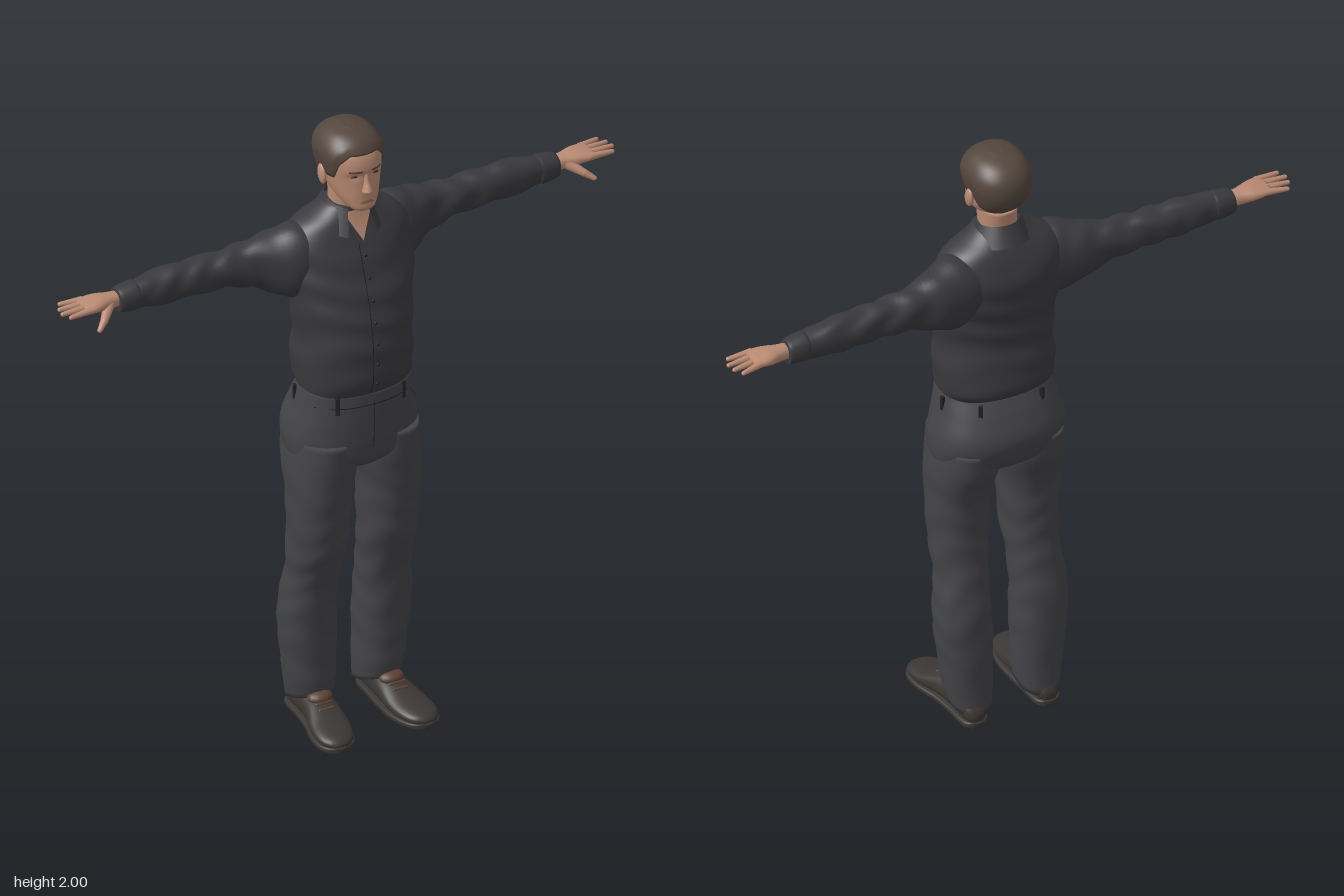
import * as THREE from 'three';

const mat = (name, color, side = THREE.FrontSide) => {
  const m = new THREE.MeshStandardMaterial({ color, side });
  m.name = name;
  return m;
};

// Smoothly interpolate rows of [t, aMin, aMax, bMin, bMax] at t
function at(rows, t) {
  let i = 0;
  while (i < rows.length - 2 && t > rows[i + 1][0]) i++;
  const P = rows[i], Q = rows[i + 1], h = Q[0] - P[0];
  const s = THREE.MathUtils.clamp((t - P[0]) / h, 0, 1);
  const slope = (j, k) => {
    const A = rows[Math.max(j - 1, 0)], B = rows[Math.min(j + 1, rows.length - 1)];
    return (B[k] - A[k]) / (B[0] - A[0]);
  };
  return [1, 2, 3, 4].map(k => {
    const s2 = s * s, s3 = s2 * s;
    return (2 * s3 - 3 * s2 + 1) * P[k] + (s3 - 2 * s2 + s) * h * slope(i, k)
      + (3 * s2 - 2 * s3) * Q[k] + (s3 - s2) * h * slope(i + 1, k);
  });
}

// Point on a rounded cross-section; angle 0 looks along +b
function section(rows, t, ang, p = 2.3, grow = 0) {
  const [a0, a1, b0, b1] = at(rows, t);
  const pw = v => Math.sign(v) * Math.abs(v) ** (2 / p);
  return [(a0 + a1) / 2 + ((a1 - a0) / 2 + grow) * pw(Math.sin(ang)),
    (b0 + b1) / 2 + ((b1 - b0) / 2 + grow) * pw(Math.cos(ang))];
}

// Grid surface; a closed one wraps around u, gets end caps and faces outward
function surface(fn, n, m, closed) {
  const pos = [], idx = [], w = closed ? n : n + 1;
  for (let j = 0; j <= m; j++) for (let i = 0; i < w; i++) pos.push(...fn(i / n, j / m));
  for (let j = 0; j < m; j++) for (let i = 0; i < n; i++) {
    const a = j * w + i, b = j * w + (i + 1) % w, c = a + w, d = b + w;
    idx.push(a, b, d, a, d, c);
  }
  if (closed) {
    for (const j of [0, m]) {
      const c = [0, 0, 0], k = pos.length / 3;
      for (let i = 0; i < n; i++) for (let q = 0; q < 3; q++) c[q] += pos[(j * n + i) * 3 + q] / n;
      pos.push(...c);
      for (let i = 0; i < n; i++) {
        const a = j * n + i, b = j * n + (i + 1) % n;
        idx.push(...(j ? [k, a, b] : [k, b, a]));
      }
    }
    let vol = 0;
    const v = i => new THREE.Vector3(pos[i * 3], pos[i * 3 + 1], pos[i * 3 + 2]);
    for (let i = 0; i < idx.length; i += 3) vol += v(idx[i]).dot(v(idx[i + 1]).cross(v(idx[i + 2])));
    if (vol < 0) idx.reverse();
  }
  const g = new THREE.BufferGeometry();
  g.setAttribute('position', new THREE.Float32BufferAttribute(pos, 3));
  g.setIndex(idx);
  g.computeVertexNormals();
  return g;
}

// Loft through rows, with optional cloth folds
function loft(rows, map, { p = 2.3, fold = 0, n = 40, steps = 6 } = {}) {
  const t0 = rows[0][0], t1 = rows[rows.length - 1][0];
  return surface((u, v) => {
    const t = t0 + (t1 - t0) * v, ang = u * Math.PI * 2;
    const f = fold * Math.sin(t * 55 + 2 * Math.sin(ang * 2 + t * 9)) * Math.sin(v * Math.PI);
    return map(t, ...section(rows, t, ang, p, f));
  }, n, (rows.length - 1) * steps, true);
}

const upright = (y, x, z) => [x, y, z];
const sym = rows => rows.map(([y, r, b, f]) => [y, -r, r, b, f]);

// Front depth of an upright loft at (x, y)
function frontZ(rows, y, x, p = 2.3) {
  const [a0, a1, b0, b1] = at(rows, y);
  const k = Math.min(1, Math.abs((x - (a0 + a1) / 2) / ((a1 - a0) / 2)));
  return (b0 + b1) / 2 + (b1 - b0) / 2 * (1 - k ** p) ** (1 / p);
}
// Thin patch on the front, between xL(v) and xR(v)
const patch = (rows, y0, y1, xL, xR, lift = 0.004) => surface((u, v) => {
  const y = y0 + (y1 - y0) * v, x = xL(v) + (xR(v) - xL(v)) * u;
  return [x, y, frontZ(rows, y, x) + lift];
}, 8, 12, false);

const torso = sym([[1.11, .15, -.11, .1], [1.15, .17, -.127, .117], [1.19, .178, -.172, .138],
  [1.25, .18, -.18, .145], [1.35, .178, -.165, .14], [1.45, .19, -.168, .12], [1.53, .205, -.177, .094],
  [1.6, .205, -.177, .069], [1.65, .195, -.165, .05], [1.69, .16, -.146, .032], [1.72, .105, -.127, .022],
  [1.75, .065, -.105, .015]]);
const hips = sym([[.885, .1, -.1, .07], [.92, .19, -.152, .106], [.97, .21, -.178, .117],
  [1.03, .206, -.188, .12], [1.1, .187, -.163, .121], [1.16, .173, -.131, .12]]);
const leg = [[.07, .045, .178, -.148, .008], [.13, .04, .19, -.145, .015], [.2, .04, .198, -.147, .015],
  [.3, .038, .21, -.146, .02], [.4, .042, .212, -.14, .025], [.5, .04, .2, -.122, .04],
  [.6, .033, .203, -.11, .075], [.7, .028, .206, -.11, .09], [.8, .022, .209, -.118, .1],
  [.9, .004, .21, -.153, .109], [.99, .01, .2, -.165, .112]];
const arm = [[.1, 1.5, 1.675, -.135, .02], [.16, 1.46, 1.69, -.145, .03], [.2, 1.457, 1.687, -.145, .025],
  [.25, 1.48, 1.672, -.145, 0], [.31, 1.51, 1.656, -.14, -.025], [.42, 1.532, 1.645, -.138, -.035],
  [.6, 1.533, 1.645, -.132, -.04], [.7, 1.545, 1.63, -.122, -.045], [.75, 1.55, 1.622, -.118, -.048]];
const palm = [[.73, 1.567, 1.612, -.104, -.062], [.78, 1.568, 1.615, -.11, -.055],
  [.82, 1.575, 1.617, -.121, -.042], [.86, 1.584, 1.612, -.123, -.034], [.875, 1.59, 1.608, -.117, -.04]];
const shoe = [[-.155, .1, .14, .02, .05], [-.135, .083, .157, .012, .08], [-.05, .075, .165, .012, .1],
  [.02, .07, .175, .012, .092], [.09, .07, .195, .012, .066], [.15, .085, .197, .012, .052],
  [.183, .107, .18, .013, .042], [.194, .13, .16, .018, .032]];
const head = sym([[1.753, .022, .025, .066], [1.765, .04, 0, .08], [1.79, .06, -.06, .08],
  [1.82, .073, -.11, .079], [1.86, .083, -.138, .076], [1.9, .087, -.147, .079], [1.94, .085, -.142, .068],
  [1.97, .066, -.118, .04], [1.985, .042, -.088, .012], [1.992, .01, -.05, -.025]]);
const nose = sym([[1.816, .009, .06, .084], [1.827, .017, .06, .1], [1.838, .014, .06, .098],
  [1.86, .009, .06, .087], [1.885, .009, .06, .078]]);
const neck = sym([[1.64, .06, -.1, .02], [1.7, .058, -.1, .018], [1.75, .056, -.1, .018], [1.81, .058, -.105, .03]]);
// Lower edge of the hair by angle from the front
const hairline = [[0, 1.944], [.5, 1.944], [.9, 1.915], [1.12, 1.865], [1.45, 1.86], [1.65, 1.878],
  [2, 1.835], [3.2, 1.812]];

export function createModel() {
  const root = new THREE.Group();
  root.name = 'man';
  const M = {
    shirt: mat('shirt cloth', 0x3a3a3e, THREE.DoubleSide), trousers: mat('trouser cloth', 0x444448),
    seam: mat('dark seam', 0x222225), skin: mat('skin', 0xb98a72), hair: mat('brown hair', 0x54463d),
    lips: mat('lips', 0x9c6a5a), eye: mat('dark eye', 0x3a2c26), shoe: mat('shoe leather', 0x3b3735),
    lace: mat('brown laces', 0x5c4236),
  };
  const add = (name, geo, material) => {
    const m = new THREE.Mesh(geo, material);
    m.name = name;
    root.add(m);
    return m;
  };
  const ball = (name, material, x, y, z, sx, sy, sz) => {
    const m = add(name, new THREE.SphereGeometry(1, 16, 12), material);
    m.position.set(x, y, z);
    m.scale.set(sx, sy, sz);
    return m;
  };

  // Shirt body, button placket and open neck
  add('shirtBody', loft(torso, upright, { fold: .003, n: 56 }), M.shirt);
  add('placketSeam', patch(torso, 1.17, 1.64, () => -.017, () => -.0145), M.seam);
  for (let i = 0; i < 7; i++) {
    const y = 1.2 + i * .067;
    ball('shirtButton', M.seam, 0, y, frontZ(torso, y, 0) + .003, .005, .005, .003);
  }
  add('openNeck', patch(torso, 1.645, 1.735, v => -.048 * v, v => .048 * v, .006), M.skin);
  add('neck', loft(neck, upright), M.skin);

  // Folded collar, open at the front
  add('collar', surface((u, v) => {
    const ang = .5 + u * (Math.PI * 2 - 1), f = (1 + Math.cos(ang)) / 2;
    const r = .066 + .036 * v;
    return [r * Math.sin(ang), 1.772 - .03 * f - v * (.058 + .022 * f), -.042 + (r + .006) * Math.cos(ang)];
  }, 40, 6, false), M.shirt);

  // Trousers with fly, pockets and belt loops
  add('trouserHips', loft(hips, upright, { n: 56 }), M.trousers);
  add('flySeam', patch(hips, .97, 1.13, () => -.001, () => .001, .002), M.seam);
  add('waistSeam', patch(hips, 1.118, 1.121, () => -.165, () => .165, .002), M.seam);
  for (const ang of [.6, 1.7, 2.6, -.6, -1.7, -2.6]) {
    const [x, z] = section(hips, 1.125, ang);
    const loop = add('beltLoop', new THREE.BoxGeometry(.012, .055, .009), M.seam);
    loop.position.set(x, 1.128, z);
    loop.rotation.y = ang;
  }

  // Head, face and hair
  add('head', loft(head, (y, x, z) => {
    const socket = Math.exp(-(((Math.abs(x) - .033) / .018) ** 2) - ((y - 1.877) / .012) ** 2);
    return [x, y, z > 0 ? z - .007 * socket : z];
  }, { n: 56 }), M.skin);
  add('nose', loft(nose, upright, { p: 2, n: 20 }), M.skin);
  add('mouth', patch(head, 1.786, 1.796, v => -.024 + .008 * v, v => .024 - .008 * v, .002), M.lips);
  add('hair', surface((u, v) => {
    const ang = u * Math.PI * 2, a = Math.min(ang, Math.PI * 2 - ang);
    const i = hairline.findIndex(h => h[0] > a), [a0, y0] = hairline[i - 1], [a1, y1] = hairline[i];
    const low = y0 + (y1 - y0) * (a - a0) / (a1 - a0);
    const y = low + (1.992 - low) * (1 - (1 - v) ** 2), g = .003 + .007 * Math.min(1, v * 4);
    const [x, z] = section(head, y, ang, 2.3, g);
    return [x, y + .008 * v, z];
  }, 72, 20, true), M.hair);

  for (const s of [1, -1]) {
    const mirrored = (y, x, z) => [s * x, y, z];
    // The left arm swings slightly further back
    const place = (x, y, z) => [s * x, y, z - (s > 0 ? .02 + .055 * x : 0)];
    const side = s > 0 ? 'left' : 'right';

    // Eyes, brows and ears
    ball(side + 'Eye', M.eye, s * .033, 1.876, frontZ(head, 1.876, .033) - .008, .013, .004, .005);
    add(side + 'Brow', patch(head, 1.892, 1.898, () => s * .034 - .019, () => s * .034 + .019, .002), M.hair);
    ball(side + 'Ear', M.skin, s * .089, 1.853, -.035, .011, .033, .02).rotation.x = -.2;

    // Sleeve and cuff
    add(side + 'Sleeve', loft(arm, place, { p: 2.2, fold: .004 }), M.shirt);
    const cuff = [.69, .7, .745, .757].map((x, i) => {
      const r = at(arm, Math.min(x, .75)), g = i % 3 ? .003 : 0;
      return [x, r[0] - g, r[1] + g, r[2] - g, r[3] + g];
    });
    add(side + 'Cuff', loft(cuff, place), M.shirt);

    // Hand with fingers and thumb
    add(side + 'Palm', loft(palm, place, { n: 24 }), M.skin);
    const digit = (name, a, b, r0, r1) => {
      const A = new THREE.Vector3(...place(...a)), B = new THREE.Vector3(...place(...b)), d = B.clone().sub(A);
      const m = add(name, new THREE.CylinderGeometry(r1, r0, d.length(), 12), M.skin);
      m.position.copy(A).add(B).multiplyScalar(.5);
      m.quaternion.setFromUnitVectors(new THREE.Vector3(0, 1, 0), d.normalize());
      ball(name + 'Tip', M.skin, B.x, B.y, B.z, r1, r1, r1);
    };
    [[-.112, .922, -.124], [-.09, .938, -.096], [-.067, .943, -.068], [-.045, .93, -.04]].forEach(([z, x, tz]) =>
      digit(side + 'Finger', [.855, 1.599, z], [x, 1.597, tz], .0115, .007));
    digit(side + 'Thumb', [.785, 1.588, -.07], [.825, 1.563, -.028], .018, .012);
    digit(side + 'Thumb', [.825, 1.563, -.028], [.85, 1.546, -.01], .012, .008);

    // Trouser leg, its hem rising over the foot
    add(side + 'TrouserLeg', loft(leg, (y, x, z) =>
      [s * x, y + (z + .06) * .35 * THREE.MathUtils.clamp((.22 - y) / .15, 0, 1), z], { fold: .002 }), M.trousers);
    add(side + 'PocketSeam', surface((u, v) => {
      const [x, z] = section(hips, .99 + .12 * v, s * (1.15 - .3 * v * v + .02 * u), 2.3, .002);
      return [x, .99 + .12 * v, z];
    }, 2, 10, false), M.seam).material = M.seam;

    // Shoe with sole, heel and laces
    add(side + 'Shoe', loft(shoe, (z, x, y) => mirrored(y, x, z), { n: 32 }), M.shoe);
    const sole = shoe.map(r => [r[0] * 1.01, r[1] - .003, r[2] + .003, r[0] < -.06 ? 0 : .002, .022]);
    add(side + 'Sole', loft(sole, (z, x, y) => mirrored(y, x, z), { p: 5, n: 32 }), M.shoe);
    for (let i = 0; i < 3; i++) {
      const lace = add(side + 'Lace', new THREE.CapsuleGeometry(.005, .045, 4, 8), M.lace);
      lace.position.set(s * .124, .094 - i * .009, .018 + i * .02);
      lace.rotation.z = Math.PI / 2;
    }
    ball(side + 'Tongue', M.lace, s * .12, .092, .008, .04, .02, .03);
  }
  return root;
}
